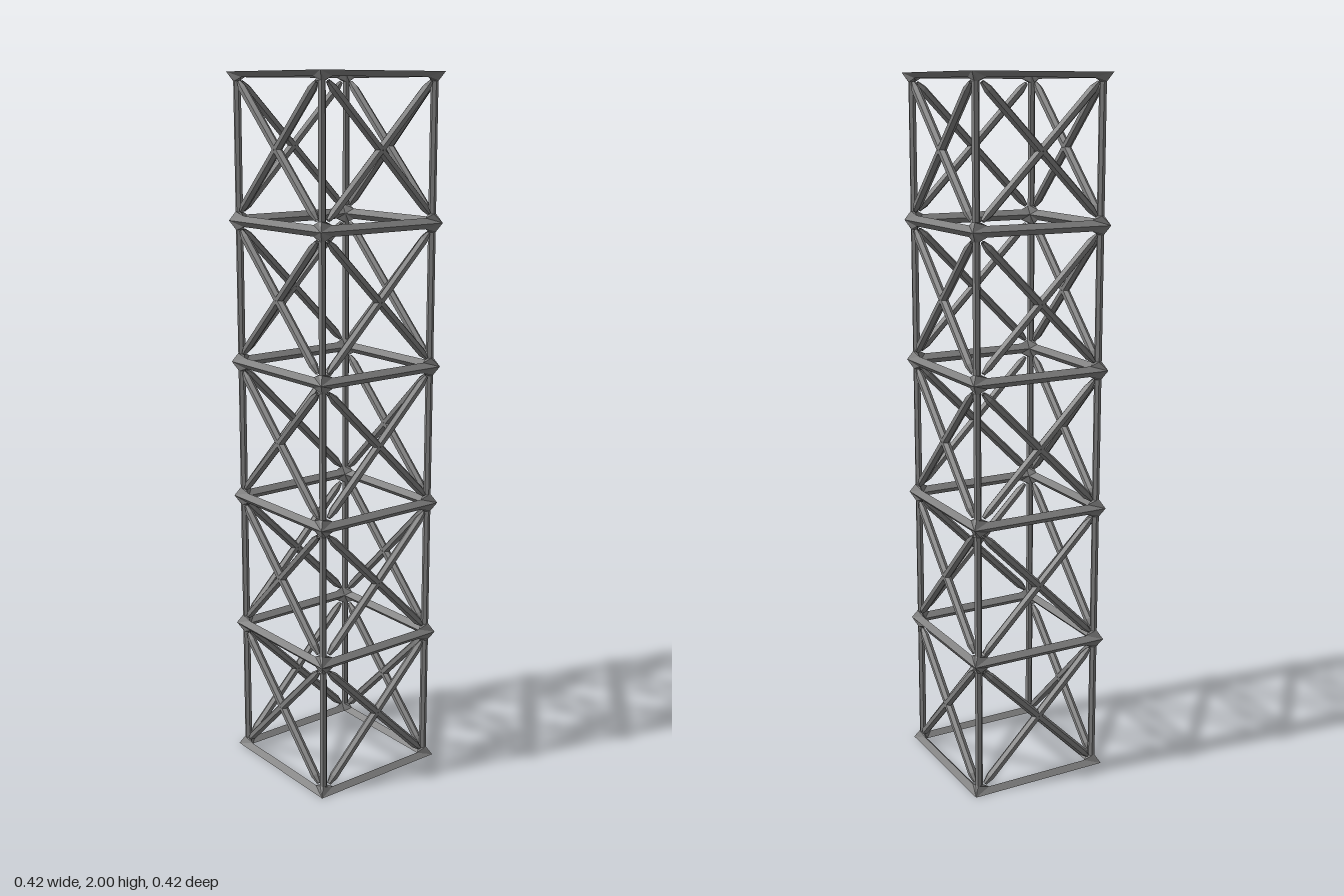
import * as THREE from 'three';

const CELLS = 5, H = 0.4;

export function createModel() {
  const tower = new THREE.Group();
  tower.name = 'latticeTower';
  // All members are open, hollow strips and tubes
  const mat = new THREE.MeshStandardMaterial({
    color: 0x808080, flatShading: true, side: THREE.DoubleSide,
  });
  const v = (x, y) => new THREE.Vector2(x, y);
  const add = (parent, geo, name) => {
    const m = new THREE.Mesh(geo, mat);
    m.name = name;
    parent.add(m);
    return m;
  };

  // Horizontal bar: a folded strip (inner edge, ridge, outer edge) as [half length, y, z]
  const bar = new THREE.PlaneGeometry(1, 1, 1, 2);
  [[0.18, 0, 0.18], [0.16, 0.015, 0.195], [0.21, 0, 0.21]].forEach(([x, y, z], row) => {
    bar.attributes.position.setXYZ(row * 2, -x, y, z);
    bar.attributes.position.setXYZ(row * 2 + 1, x, y, z);
  });

  // Hollow six-sided corner post whose ends spread out to meet the two bars
  const post = new THREE.LatheGeometry(
    [v(0.0105, 0), v(0.0105, 0.025), v(0.0105, H - 0.025), v(0.0105, H)], 6, Math.PI / 4);
  const onX = [0.195, 0.015, 0.16], onZ = [0.16, 0.015, 0.195];
  const outer = [0.21, 0, 0.21], inner = [0.18, 0, 0.18];
  const ends = [outer, onX, onX, inner, onZ, onZ, outer];
  const pos = post.attributes.position;
  for (let i = 0; i < pos.count; i++) {
    const row = i % 4;
    if (row === 0 || row === 3) {
      const [x, y, z] = ends[Math.floor(i / 4)];
      pos.setXYZ(i, x, row ? H - y : y, z);
    } else {
      pos.setX(i, pos.getX(i) + 0.189);
      pos.setZ(i, pos.getZ(i) + 0.189);
    }
  }

  // Diagonal brace, narrowed at both ends
  const half = 0.173 * Math.SQRT2;
  const brace = new THREE.LatheGeometry(
    [v(0.006, -half), v(0.0125, -half + 0.025), v(0.0125, half - 0.025), v(0.006, half)],
    6, Math.PI / 6);

  // Small node where two braces cross
  const node = new THREE.OctahedronGeometry(0.02);
  node.scale(1, 1, 0.6);

  for (let i = 0; i < CELLS; i++) {
    const cell = new THREE.Group();
    cell.name = 'cell' + (i + 1);
    cell.position.y = i * H;
    tower.add(cell);

    // Four identical sides: two bars, a post and a crossed pair of braces
    for (let k = 0; k < 4; k++) {
      const side = new THREE.Group();
      side.name = 'side' + (k + 1);
      side.rotation.y = k * Math.PI / 2;
      cell.add(side);
      add(side, bar, 'lowerBar');
      const upper = add(side, bar, 'upperBar');
      upper.rotation.z = Math.PI;
      upper.position.y = H;
      add(side, post, 'cornerPost');
      for (const s of [-1, 1]) {
        const b = add(side, brace, 'diagonalBrace');
        b.position.set(0, H / 2, 0.193);
        b.rotation.z = s * Math.PI / 4;
      }
      add(side, node, 'crossNode').position.set(0, H / 2, 0.193);
    }
  }
  return tower;
}
